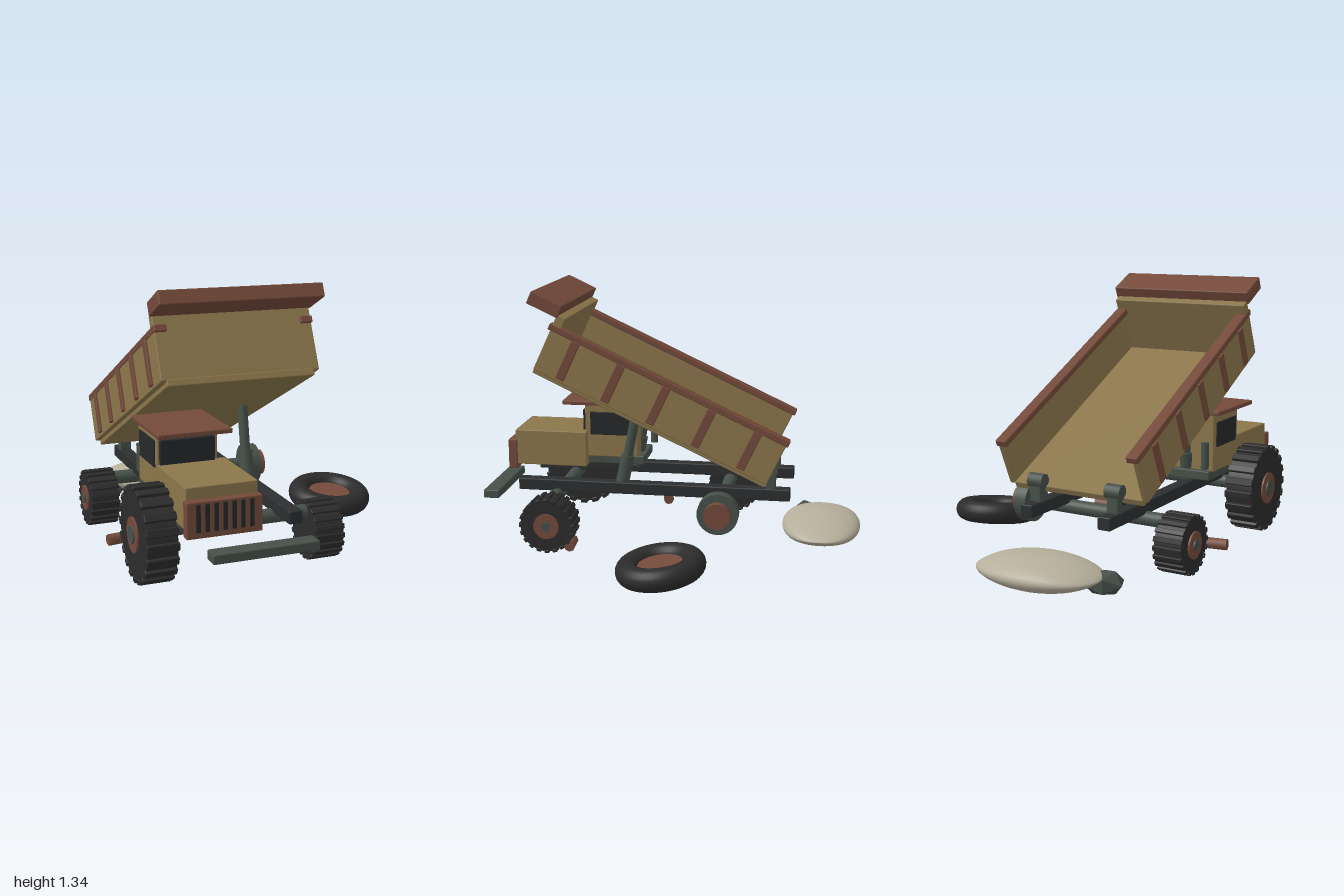
import * as THREE from 'three';
import { RoundedBoxGeometry } from 'three/addons/geometries/RoundedBoxGeometry.js';

const material = (name, color) => {
  const m = new THREE.MeshStandardMaterial({ color });
  m.name = name;
  return m;
};

export function createModel() {
  const gold = material('olive gold paint', 0x8b764b);
  const rust = material('rust brown', 0x744a3b);
  const grey = material('green grey metal', 0x465049);
  const dark = material('dark chassis', 0x2c2e30);
  const rubber = material('rubber', 0x2b2b2b);
  const glass = material('dark glass', 0x25282a);
  const cloth = material('sack cloth', 0xb5ae9b);

  const model = new THREE.Group();
  model.name = 'brokenDumpTruck';

  const add = (parent, name, geometry, mat) => {
    const mesh = new THREE.Mesh(geometry, mat);
    mesh.name = name;
    parent.add(mesh);
    return mesh;
  };
  // Softly bevelled box given by its extents on each axis
  const box = (parent, name, mat, [x0, x1], [y0, y1], [z0, z1]) => {
    const s = [x1 - x0, y1 - y0, z1 - z0];
    const mesh = add(parent, name, new RoundedBoxGeometry(...s, 1, Math.min(0.006, Math.min(...s) / 4)), mat);
    mesh.position.set((x0 + x1) / 2, (y0 + y1) / 2, (z0 + z1) / 2);
    return mesh;
  };
  // Cylinder between two points
  const rod = (parent, name, mat, a, b, r, sides = 24) => {
    const p = new THREE.Vector3(...a), q = new THREE.Vector3(...b);
    const dir = q.clone().sub(p);
    const mesh = add(parent, name, new THREE.CylinderGeometry(r, r, dir.length(), sides), mat);
    mesh.position.copy(p).add(q).multiplyScalar(0.5);
    mesh.quaternion.setFromUnitVectors(new THREE.Vector3(0, 1, 0), dir.normalize());
    return mesh;
  };

  // Chassis rails, hinges and lifting rams, mirrored about the truck's centre line
  const mid = -0.2575;
  for (const side of [-1, 1]) {
    const rx = mid + side * 0.21, hx = mid + side * 0.1975;
    box(model, 'chassisRail', dark, [rx - 0.033, rx + 0.033], [0.27, 0.332], [-0.635, 0.8]);
    rod(model, 'hingeBarrel', grey, [rx - 0.04, 0.43, -0.535], [rx + 0.04, 0.43, -0.535], 0.035, 16);
    box(model, 'hingeBracket', grey, [rx - 0.03, rx + 0.03], [0.325, 0.43], [-0.56, -0.51]);
    rod(model, 'ramCylinder', grey, [hx, 0.31, 0.25], [hx, 0.475, 0.215], 0.035);
    rod(model, 'ramRod', grey, [hx, 0.46, 0.218], [hx, 0.69, 0.175], 0.025);
  }

  // Axles and the bare brake drum
  rod(model, 'frontAxle', grey, [-0.64, 0.25, 0.59], [0.12, 0.25, 0.59], 0.035);
  rod(model, 'rearAxle', grey, [-0.65, 0.25, -0.285], [0.14, 0.25, -0.285], 0.035);
  rod(model, 'brakeDrum', grey, [0.13, 0.25, -0.285], [0.195, 0.25, -0.285], 0.105, 32);
  rod(model, 'bareHub', rust, [0.19, 0.25, -0.285], [0.232, 0.25, -0.285], 0.067, 32);

  // Wheel with tread lugs; out is the direction its hub faces
  const wheel = (name, x, y, z, r, out) => {
    const g = new THREE.Group();
    g.name = name;
    g.position.set(x, y, z);
    model.add(g);
    const w = 0.07, k = r / 0.145;
    rod(g, 'tyre', rubber, [-w, 0, 0], [w, 0, 0], r * 0.93, 40);
    const n = 20;
    for (let i = 0; i < n; i++) {
      const a = (i / n) * Math.PI * 2;
      const lug = box(g, 'treadLug', rubber, [-0.075, 0.075], [-r * 0.06, r * 0.06], [-r * 0.085, r * 0.085]);
      lug.position.set(0, Math.cos(a) * r * 0.935, Math.sin(a) * r * 0.935);
      lug.rotation.x = a;
    }
    rod(g, 'hub', rust, [out * 0.05, 0, 0], [out * 0.079, 0, 0], 0.066 * Math.sqrt(k), 32);
    rod(g, 'hubCap', grey, [out * 0.06, 0, 0], [out * 0.086, 0, 0], 0.026 * k, 20);
  };
  wheel('largeFrontWheel', -0.68, 0.243, 0.59, 0.228, -1);
  wheel('smallFrontWheel', 0.165, 0.158, 0.587, 0.145, 1);
  wheel('rearWheel', -0.68, 0.158, -0.287, 0.145, -1);

  // Cab and bonnet
  const cab = new THREE.Group();
  cab.name = 'cab';
  model.add(cab);
  box(cab, 'bonnet', gold, [-0.606, -0.272], [0.335, 0.53], [0.49, 0.89]);
  box(cab, 'cabBody', gold, [-0.608, -0.316], [0.385, 0.685], [0.215, 0.505]);
  box(cab, 'roof', rust, [-0.64, -0.285], [0.677, 0.7], [0.205, 0.625]);
  box(cab, 'cabFloor', grey, [-0.6, -0.325], [0.345, 0.392], [0.18, 0.5]);
  box(cab, 'windscreen', glass, [-0.598, -0.332], [0.525, 0.645], [0.5, 0.52]);
  for (const x of [-0.61, -0.314])
    box(cab, 'sideWindow', glass, [x - 0.005, x + 0.005], [0.51, 0.637], [0.245, 0.475]);
  box(cab, 'grille', rust, [-0.615, -0.265], [0.31, 0.475], [0.88, 0.93]);
  for (let i = 0; i < 7; i++) {
    const x = -0.44 + (i - 3) * 0.041;
    box(cab, 'grilleSlot', glass, [x - 0.01, x + 0.01], [0.338, 0.464], [0.926, 0.935]);
  }
  rod(cab, 'exhaust', grey, [-0.585, 0.41, 0.165], [-0.585, 0.545, 0.165], 0.02, 16);
  box(model, 'bumper', grey, [-0.52, -0.02], [0.21, 0.255], [0.915, 1.0]);

  // Raised tipping bed, built flat and tilted about its tail
  const bed = new THREE.Group();
  bed.name = 'tippingBed';
  bed.position.set(0, 0.372, -0.51);
  bed.rotation.x = THREE.MathUtils.degToRad(-25);
  model.add(bed);
  box(bed, 'bedFloor', gold, [-0.608, 0.095], [0, 0.035], [0, 1.312]);
  box(bed, 'headboard', gold, [-0.634, 0.123], [0.026, 0.335], [1.26, 1.31]);
  box(bed, 'canopy', rust, [-0.645, 0.135], [0.32, 0.388], [1.3, 1.474]);
  const bedMid = -0.2555;
  for (const side of [-1, 1]) {
    const span = (a, b) => [bedMid + side * a, bedMid + side * b].sort((p, q) => p - q);
    box(bed, 'bedSide', gold, span(0.346, 0.378), [0.024, 0.255], [0, 1.3]);
    box(bed, 'topRail', rust, span(0.321, 0.381), [0.247, 0.28], [-0.01, 1.325]);
    for (let i = 0; i < 5; i++) {
      const z = 0.154 + i * 0.253;
      box(bed, 'sideRib', rust, span(0.37, 0.39), [0.04, 0.25], [z - 0.023, z + 0.023]);
    }
  }

  // Loose tyre lying beside the truck
  const spare = new THREE.Group();
  spare.name = 'looseWheel';
  spare.position.set(0.542, 0.094, -0.055);
  spare.rotation.set(THREE.MathUtils.degToRad(7.5), 0, THREE.MathUtils.degToRad(-2));
  model.add(spare);
  const ring = add(spare, 'looseTyre', new THREE.TorusGeometry(0.163, 0.057, 20, 48), rubber);
  ring.rotation.x = Math.PI / 2;
  rod(spare, 'looseRim', rust, [0, -0.02, 0], [0, 0.02, 0], 0.115, 32);

  // Sack: a sphere squeezed into a pillow with sharp ends
  const sackShape = new THREE.SphereGeometry(1, 40, 24);
  sackShape.rotateZ(Math.PI / 2);
  const p = sackShape.attributes.position;
  for (let i = 0; i < p.count; i++) {
    const t = p.getX(i), ring2 = Math.max(1 - t * t, 0);
    p.setXYZ(i, t * 0.313, p.getY(i) * Math.pow(ring2, 0.2) * 0.078, p.getZ(i) * Math.pow(ring2, -0.08 * (ring2 > 1e-6)) * 0.205);
  }
  sackShape.computeVertexNormals();
  add(model, 'sack', sackShape, cloth).position.set(-0.228, 0.092, -0.795);

  // Faceted stone by the sack
  const stoneShape = new THREE.IcosahedronGeometry(1, 0);
  stoneShape.scale(0.1, 0.062, 0.088);
  stoneShape.rotateY(0.4);
  add(model, 'stone', stoneShape, grey).position.set(-0.515, 0.06, -0.71);

  // Broken hub pieces on the ground
  rod(model, 'brokenPiece', rust, [-0.742, 0.055, 0.108], [-0.632, 0.055, 0.09], 0.029, 8);
  rod(model, 'brokenPiece', rust, [0.13, 0.055, 0.475], [0.23, 0.055, 0.468], 0.029, 8);

  return model;
}
